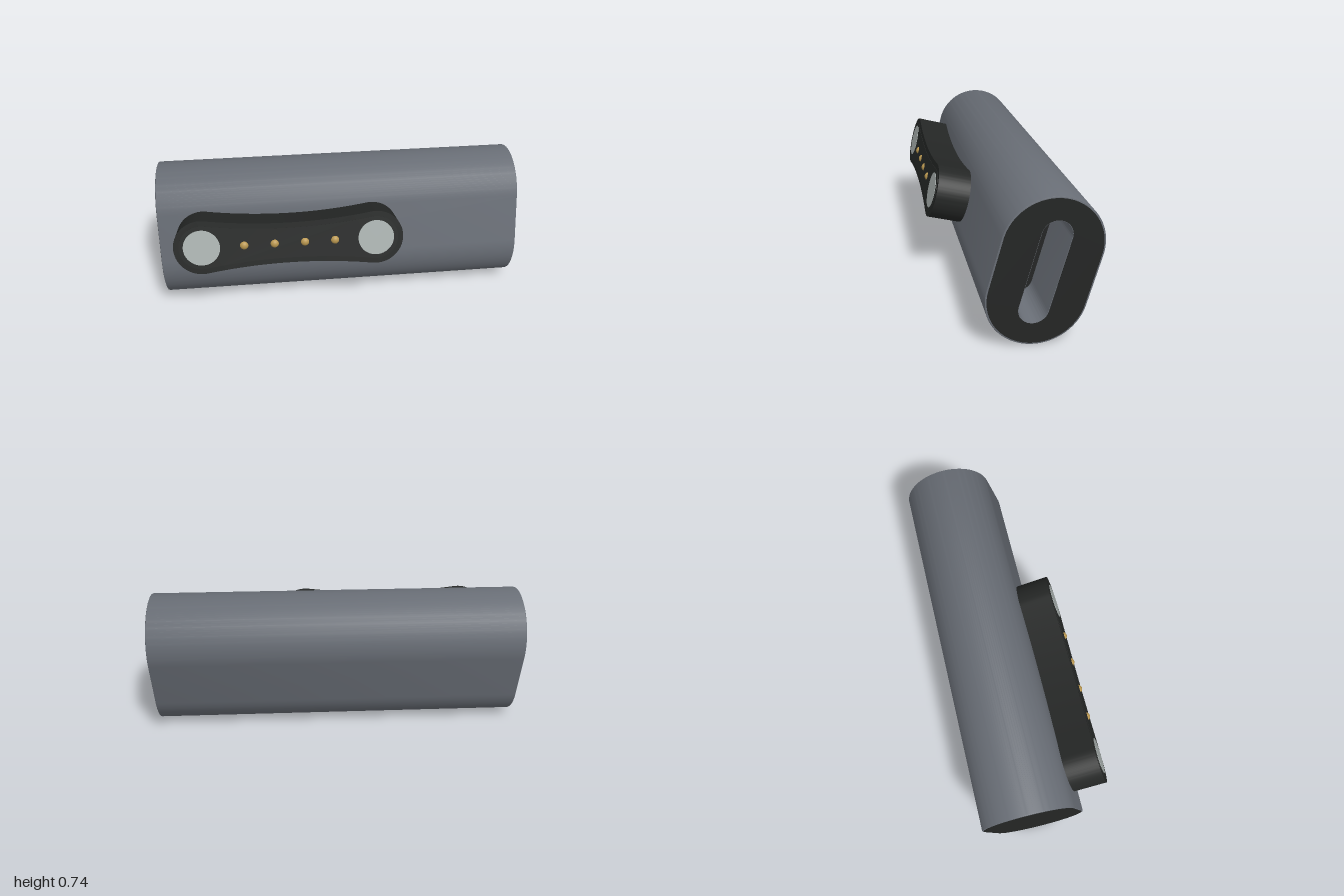
import * as THREE from 'three';
import { toCreasedNormals } from 'three/addons/utils/BufferGeometryUtils.js';

const mat = (color) => new THREE.MeshStandardMaterial({ color });
const shellMat = mat(0x686d75);
const blackMat = mat(0x242625);
const insertMat = mat(0x272928);
const steelMat = mat(0xaab2b0);
const goldMat = mat(0xb8964f);

// Upright pill outline: radius r, straight half-length h
function pill(r, h, Type = THREE.Shape) {
  const s = new Type();
  s.absarc(0, h, r, 0, Math.PI, false);
  s.absarc(0, -h, r, Math.PI, Math.PI * 2, false);
  s.closePath();
  return s;
}

// Dog-bone outline: two round ends joined by tangent concave arcs
function dogBone(r) {
  const cx = 0.461, H = 3.02;
  const a = Math.atan2(cx, H);                 // lean of the tangent points
  const R = Math.hypot(cx, H) - r;
  const q = Math.PI / 2;
  const s = new THREE.Shape();
  s.absarc(cx, 0, r, -q - a, q + a, false);
  s.absarc(0, H, R, -q + a, -q - a, true);
  s.absarc(-cx, 0, r, q - a, q * 3 + a, false);
  s.absarc(0, -H, R, q + a, q - a, true);
  s.closePath();
  return s;
}

function extrude(shape, depth, bevel = 0) {
  const g = new THREE.ExtrudeGeometry(shape, {
    depth: depth - 2 * bevel, curveSegments: 32, bevelEnabled: bevel > 0,
    bevelSize: bevel, bevelThickness: bevel, bevelOffset: -bevel, bevelSegments: 2,
  });
  g.translate(0, 0, bevel);
  return toCreasedNormals(g, 0.5);
}

function add(parent, name, geometry, material, x = 0, y = 0, z = 0) {
  const m = new THREE.Mesh(geometry, material);
  m.name = name;
  m.position.set(x, y, z);
  parent.add(m);
  return m;
}

export function createModel() {
  const group = new THREE.Group();
  const tilted = new THREE.Group();
  tilted.name = 'tiltedAssembly';
  tilted.position.set(0, 0.371, -0.084);
  tilted.rotation.x = -THREE.MathUtils.degToRad(15);
  group.add(tilted);

  // Extrudes a cross-section along x
  const alongX = (name, shape, depth, material, x, bevel) =>
    add(tilted, name, extrude(shape, depth, bevel).rotateY(Math.PI / 2), material, x);

  // Pill-section housing with the slot in its right end
  const R = 0.246, H = 0.13;
  const body = pill(R, H);
  body.holes.push(pill(0.071, 0.188, THREE.Path));
  alongX('housing', body, 1.998, shellMat, -0.999, 0.005);

  // End plates: one slotted, one plain
  const slotted = pill(R - 0.009, H);
  slotted.holes.push(pill(0.075, 0.188, THREE.Path));
  alongX('slottedEndPlate', slotted, 0.003, blackMat, 0.997);
  alongX('plainEndPlate', pill(R - 0.009, H), 0.003, blackMat, -1);
  alongX('slotFloor', pill(0.08, 0.188), 0.02, blackMat, 0.68);

  // Magnetic connector on the front
  const connector = new THREE.Group();
  connector.name = 'connector';
  connector.position.set(-0.297, 0, 0);
  tilted.add(connector);
  const face = 0.424;
  add(connector, 'connectorShell', extrude(dogBone(0.146), face - 0.18), blackMat, 0, 0, 0.18);
  add(connector, 'connectorInsert', extrude(dogBone(0.118), 0.012), insertMat, 0, 0, face - 0.01);

  // Magnets
  const disc = new THREE.CylinderGeometry(0.096, 0.096, 0.02, 48).rotateX(Math.PI / 2);
  for (const side of [-1, 1]) add(connector, 'magnet', disc, steelMat, side * 0.461, 0, face - 0.006);

  // Contact pins
  const pin = new THREE.SphereGeometry(0.025, 24, 16);
  for (let i = 0; i < 4; i++) add(connector, 'contactPin', pin, goldMat, (i - 1.5) * 0.16, 0, face - 0.01);

  return group;
}
